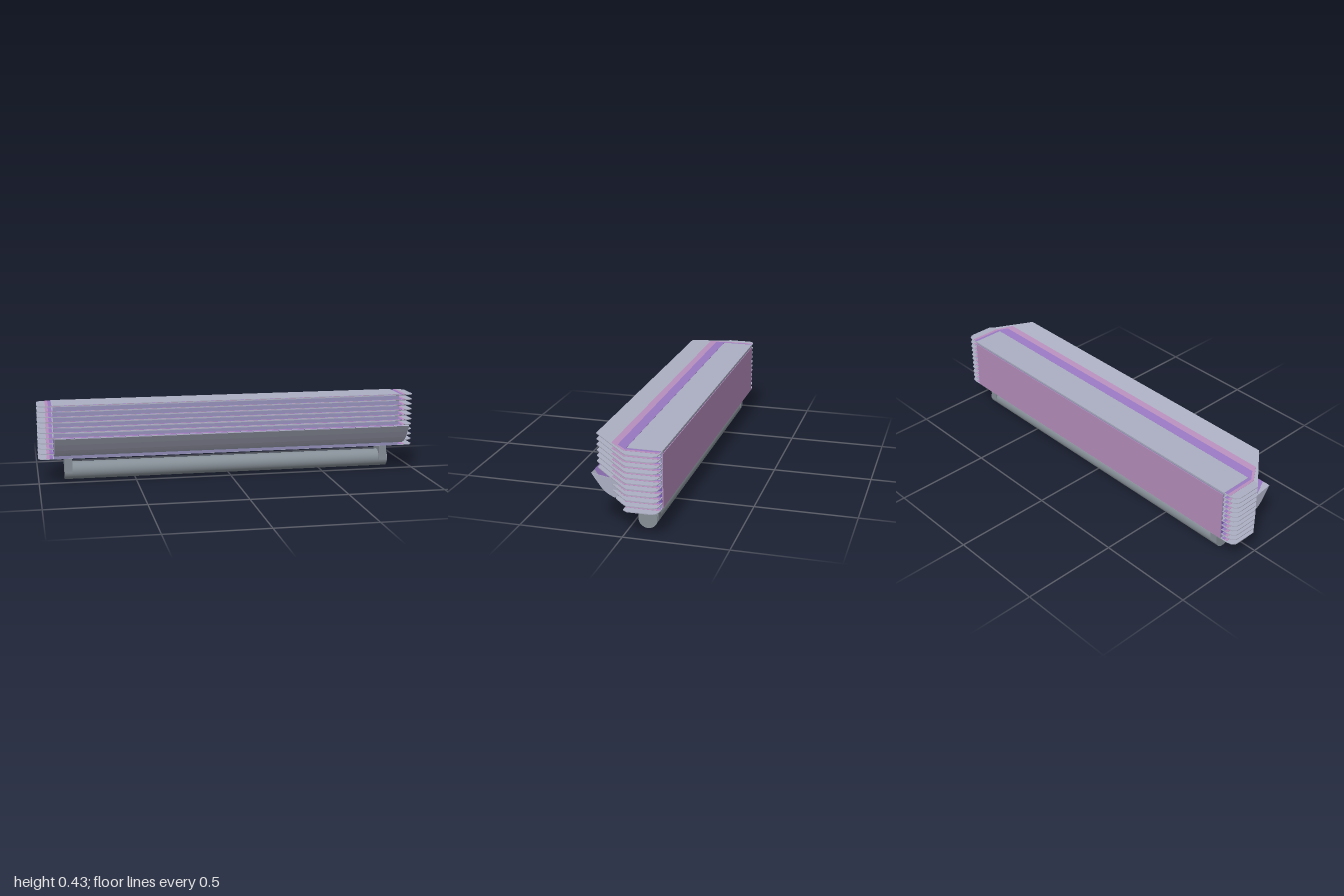
import * as THREE from 'three';

const mat = (name, color, double = false) => {
  const m = new THREE.MeshStandardMaterial({ color });
  m.name = name;
  if (double) m.side = THREE.DoubleSide;
  return m;
};

export function createModel() {
  const grey = mat('lavender grey', 0xacafc2, true);
  const steel = mat('steel grey', 0x868f97);
  const lilac = mat('lilac', 0x9692bd);
  const purple = mat('purple', 0x7b5bbb);
  const violet = mat('glow violet', 0x9878c2);
  const pink = mat('pink', 0xb78fbc);
  const mauve = mat('mauve', 0xb58cbb);

  const model = new THREE.Group();
  model.name = 'louvredLamp';
  const add = (name, geometry, material, parent = model) => {
    const mesh = new THREE.Mesh(geometry, material);
    mesh.name = name;
    parent.add(mesh);
    return mesh;
  };
  const box = (name, material, x0, x1, y0, y1, z0, z1) =>
    add(name, new THREE.BoxGeometry(x1 - x0, y1 - y0, z1 - z0), material)
      .position.set((x0 + x1) / 2, (y0 + y1) / 2, (z0 + z1) / 2);
  const shapeOf = pts => new THREE.Shape(pts.map(p => new THREE.Vector2(...p)));

  // Plate from an (x, z) outline with its top at y; it rises towards the front past z = 0
  const plate = (pts, y, depth) => {
    const g = new THREE.ExtrudeGeometry(shapeOf(pts), { depth, bevelEnabled: false });
    g.rotateX(Math.PI / 2);
    const p = g.attributes.position;
    for (let i = 0; i < p.count; i++) p.setY(i, p.getY(i) + y + Math.max(0, p.getZ(i)) * 0.17);
    g.computeVertexNormals();
    return g;
  };
  // Bar along x from a (z, y) section
  const bar = (pts, half) => {
    const g = new THREE.ExtrudeGeometry(shapeOf(pts.map(([z, y]) => [-z, y])), { depth: 2 * half, bevelEnabled: false });
    return g.rotateY(Math.PI / 2).translate(-half, 0, 0);
  };
  const mirrored = half => [...half, ...half.map(([x, z]) => [-x, z]).reverse()];

  // Stack of fins: flat at the back, raised at the front, with a glow band around the body
  const tips = [0.17, 0.17, 0.17, 0.17, 0.17, 0.17, 0.17, 0.065, 0.065, 0.045, 0];
  tips.forEach((tip, i) => {
    const y = 0.402 - i * 0.0273;
    const fin = new THREE.Group();
    fin.name = 'fin' + (i + 1);
    model.add(fin);
    const back = [[0.955, -0.168], [0.985, -0.162], [0.998, -0.145], [1, -0.13], [1, -0.02], [0.983, 0]];
    add('finBack', plate(mirrored(back), y, 0.004), grey, fin);
    for (const s of [-1, 1]) {
      const strip = (a, b) => [[s * a, -0.163], [s * b, -0.163], [s * b, 0], [s * a, 0]];
      add('innerGlowSide', plate(strip(0.925, 0.942), y + 0.001, 0.001), violet, fin);
      add('outerGlowSide', plate(strip(0.942, 0.957), y + 0.001, 0.001), pink, fin);
    }
    if (tip === 0) return;
    add('finFront', plate(mirrored([[0.983, 0], [0.983 - tip * 0.83, tip]]), y, 0.004), grey, fin);
    add('innerGlowFront', plate(mirrored([[0.942, 0], [0.91, 0.044]]), y + 0.001, 0.001), violet, fin);
    if (tip > 0.05) {
      const outer = Math.min(0.075, tip);
      add('outerGlowFront', plate(mirrored([[0.91, 0.044], [0.942, 0], [0.957, 0], [0.905, outer]]), y + 0.001, 0.001), pink, fin);
    }
  });

  // Hollow upper housing, open at the ends
  box('housingTop', grey, -0.925, 0.925, 0.396, 0.4045, -0.169, -0.002);
  box('housingFront', lilac, -0.92, 0.92, 0.23, 0.398, -0.01, 0);
  box('housingBack', lilac, -0.92, 0.92, 0.23, 0.396, -0.168, -0.159);
  box('backPanel', mauve, -0.92, 0.92, 0.129, 0.39, -0.171, -0.166);
  add('innerTube', new THREE.CylinderGeometry(0.045, 0.045, 1.84, 40).rotateZ(Math.PI / 2), grey)
    .position.set(0, 0.321, -0.083);

  // Solid lower housing with coloured ends
  add('lowerHousing', bar([[-0.168, 0.126], [0, 0.126], [0.01, 0.238], [-0.168, 0.238]], 0.92), lilac);
  for (const s of [-1, 1]) {
    const end = add('lowerHousingEnd', bar([[-0.166, 0.147], [0.001, 0.147], [0.008, 0.235], [-0.166, 0.235]], 0.002), purple);
    end.position.x = s * 0.92;
  }

  // Curved front trough, open at the top, with end caps and a glow on its inside
  const outer = [[0.17, 0.265], [0.145, 0.229], [0.12, 0.195], [0.105, 0.18], [0.085, 0.167], [0.06, 0.155], [0.045, 0.155]];
  const inset = d => outer.map(([z, y]) => [z - d * 0.75, y + d]).reverse();
  add('trough', bar([...outer, ...inset(0.004)], 0.92), grey);
  add('troughGlow', bar([...outer.map(([z, y]) => [z - 0.002, y + 0.003]), ...inset(0.005)], 0.885), violet);
  for (const s of [-1, 1]) {
    const cap = add('troughEnd', bar([...outer, [0.01, 0.236]], 0.002), grey);
    cap.position.x = s * 0.92;
  }

  // Lower tube hung on two brackets
  add('lowerTube', new THREE.CylinderGeometry(0.046, 0.046, 1.74, 40).rotateZ(Math.PI / 2), steel)
    .position.set(0.004, 0.046, -0.083);
  for (const s of [-1, 1]) {
    const x = s * 0.847;
    box('bracket', steel, x - 0.02, x + 0.02, 0.04, 0.128, -0.131, -0.035);
  }
  return model;
}
